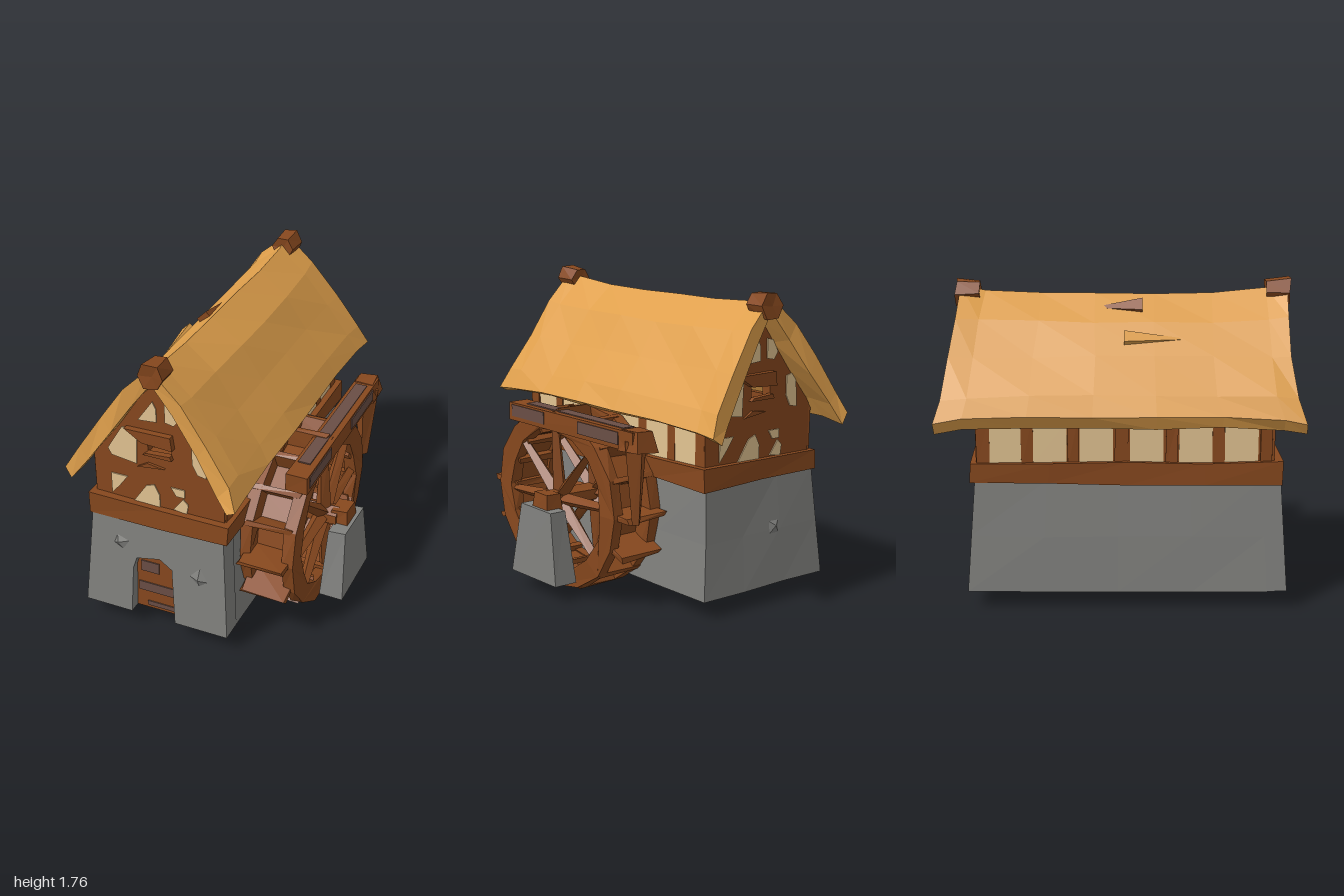
import * as THREE from 'three';

const paint = (name, color, side = THREE.FrontSide) =>
  Object.assign(new THREE.MeshStandardMaterial({ color, flatShading: true, side }), { name });

// Shift each corner by a repeatable amount, so shared corners stay together
function rough(geo, amount) {
  const p = geo.attributes.position;
  const hash = (a, b, c) => {
    const s = Math.sin(a * 127.1 + b * 311.7 + c * 74.7) * 43758.5453;
    return s - Math.floor(s) - 0.5;
  };
  for (let i = 0; i < p.count; i++) {
    const [x, y, z] = [p.getX(i), p.getY(i), p.getZ(i)].map(v => Math.round(v * 1000) / 1000 + 0);
    p.setXYZ(i, x + 2 * amount * hash(x, y, z), y + 2 * amount * hash(y, z, x), z + 2 * amount * hash(z, x, y));
  }
  geo.computeVertexNormals();
  return geo;
}

const polygon = pts => new THREE.Shape(pts.map(([x, y]) => new THREE.Vector2(x, y)));

export function createModel() {
  const model = new THREE.Group();
  model.name = 'watermill';
  const wood = paint('wood', 0x87481e, THREE.DoubleSide), thatch = paint('thatch', 0xdf9f4b, THREE.DoubleSide);
  const stone = paint('stone', 0x80807d), plaster = paint('plaster', 0xe3c492), worn = paint('wornWood', 0x6a4e45);

  const add = (name, geo, mat, parent = model) => {
    const mesh = new THREE.Mesh(geo, mat);
    mesh.name = name;
    parent.add(mesh);
    return mesh;
  };
  // Box from extents; the top can be narrowed and the corners roughened
  const block = (name, mat, [x0, x1], [y0, y1], [z0, z1], { top = 1, j = 0.008, seg = [1, 1, 1] } = {}) => {
    const geo = new THREE.BoxGeometry(x1 - x0, y1 - y0, z1 - z0, ...seg);
    const p = geo.attributes.position;
    for (let i = 0; i < p.count; i++) {
      const k = 1 + (top - 1) * (p.getY(i) / (y1 - y0) + 0.5);
      p.setX(i, p.getX(i) * k);
      p.setZ(i, p.getZ(i) * k);
    }
    geo.translate((x0 + x1) / 2, (y0 + y1) / 2, (z0 + z1) / 2);
    return add(name, j ? rough(geo, j) : geo, mat);
  };

  // Stone ground floor, leaning inward, with a door recess
  const lean = geo => {
    const p = geo.attributes.position;
    for (let i = 0; i < p.count; i++) {
      const t = (p.getY(i) - 0.1) / 0.62;
      p.setX(i, -0.1 + (p.getX(i) + 0.1) * (1 - 0.1 * t));
      p.setZ(i, 0.04 + (p.getZ(i) - 0.04) * (1 - 0.05 * t));
    }
    geo.computeVertexNormals();
    return geo;
  };
  const body = new THREE.BoxGeometry(0.88, 0.62, 1.63, 3, 2, 4).translate(-0.22, 0.41, -0.015);
  add('stoneBase', rough(lean(body), 0.005), stone);
  const frontWall = polygon([[-0.66, 0.1], [-0.37, 0.1], [-0.37, 0.4], [-0.35, 0.47], [-0.2, 0.5], [-0.12, 0.45],
    [-0.1, 0.1], [0.22, 0.1], [0.22, 0.72], [-0.66, 0.72]]);
  add('stoneFront', lean(new THREE.ExtrudeGeometry(frontWall, { depth: 0.13, bevelEnabled: false }).translate(0, 0, 0.78)), stone);

  // Door with worn bands
  block('door', wood, [-0.4, -0.08], [0.1, 0.52], [0.72, 0.84], { j: 0 });
  [[-0.33, -0.22, 0.36, 0.43], [-0.35, -0.13, 0.22, 0.28], [-0.3, -0.12, 0.12, 0.15]].forEach(([a, b, c, d]) =>
    block('doorBand', worn, [a, b], [c, d], [0.838, 0.846], { j: 0 }));

  // Loose stones standing out of the walls
  [[-0.43, 0.55, 0.87, 0.07], [0.05, 0.44, 0.88, 0.075], [-0.3, 0.42, -0.8, 0.07], [0.185, 0.43, 0.44, 0.09],
    [0.2, 0.15, -0.74, 0.06]].forEach(([x, y, z, r], i) => {
    const rock = add('wallStone', rough(new THREE.OctahedronGeometry(r), 0.012), stone);
    rock.position.set(x, y, z);
    rock.scale.set(i > 2 ? 0.35 : 1, i > 2 ? 0.9 : 1, i > 2 ? 1 : 0.35);
    rock.rotation.z = i > 2 ? 0 : i + 0.5;
  });

  // Timber band above the stone
  block('timberBand', wood, [-0.62, 0.22], [0.705, 0.825], [-0.815, 0.88], { top: 0.995, j: 0.008, seg: [2, 1, 4] });

  // Upper floor: two gables with open windows, and two long walls
  const patches = [
    [[-0.32, 1.29], [-0.41, 1.28], [-0.5, 1.13], [-0.48, 1.09], [-0.33, 1.07]],
    [[0, 1.26], [0, 1.15], [0.03, 1.09], [0.08, 1.08], [0.07, 1.28]],
    [[-0.31, 1.35], [-0.2, 1.36], [-0.2, 1.44], [-0.22, 1.48]],
    [[-0.15, 1.48], [-0.15, 1.37], [-0.1, 1.36], [-0.07, 1.4], [-0.11, 1.47]],
    [[-0.49, 0.84], [-0.44, 0.9], [-0.39, 0.97], [-0.49, 0.97]],
    [[-0.36, 0.82], [-0.2, 0.82], [-0.2, 0.9], [-0.23, 0.96], [-0.28, 0.94]],
    [[-0.13, 0.97], [-0.1, 0.92], [-0.05, 0.92], [-0.05, 0.97]],
    [[-0.12, 0.83], [-0.04, 0.82], [-0.03, 0.88], [-0.06, 0.91]]];
  const gable = polygon([[-0.59, 0.8], [0.18, 0.8], [0.18, 1.135], [-0.05, 1.49], [-0.175, 1.63], [-0.31, 1.48], [-0.59, 1.12]]);
  gable.holes.push(new THREE.Path([[-0.26, 1.155], [-0.26, 1.235], [-0.12, 1.235], [-0.12, 1.155]].map(p => new THREE.Vector2(...p))));
  for (const front of [true, false]) {
    const end = new THREE.Group();
    end.name = front ? 'frontGable' : 'backGable';
    add('gableWall', new THREE.ExtrudeGeometry(gable, { depth: 0.06, bevelEnabled: false }), wood, end);
    for (const pts of patches)
      add('plasterPatch', new THREE.ExtrudeGeometry(polygon(pts), { depth: 0.006, bevelEnabled: false }).translate(0, 0, 0.06), plaster, end);
    const beam = (name, pts, depth) =>
      add(name, new THREE.ExtrudeGeometry(polygon(pts), { depth, bevelEnabled: false }).translate(0, 0, 0.05), wood, end);
    beam('windowHeader', [[-0.28, 1.23], [-0.1, 1.22], [-0.11, 1.3], [-0.38, 1.295]], 0.045);
    beam('windowSill', [[-0.28, 1.15], [-0.11, 1.15], [-0.12, 1.175], [-0.26, 1.165]], 0.035);
    beam('tieBeam', [[-0.32, 1.06], [-0.16, 1.08], [-0.26, 1.095]], 0.025);
    if (front) end.position.z = 0.77;
    else {
      end.rotation.y = Math.PI;
      end.position.set(-0.4, 0, -0.72);
    }
    model.add(end);
  }
  for (const [x, out] of [[0.15, 1], [-0.56, -1]]) {
    block('sideWall', wood, [x - 0.03, x + 0.03], [0.8, 1.1], [-0.75, 0.8], { j: 0 });
    const face = x + out * 0.033;
    for (const z of [0.65, 0.405, 0.14, -0.13, -0.38, -0.615])
      block('plasterPanel', plaster, [face - 0.004, face + 0.004], [0.81, 1.05], [z - 0.09, z + 0.09], { j: 0 });
    for (const z of [0.785, 0.53, 0.275, 0.005, -0.255, -0.5, -0.74])
      block('wallPost', wood, [x - 0.02, x + 0.02].map(v => v + out * 0.02), [0.8, 1.08], [z - 0.033, z + 0.033], { j: 0.005 });
  }

  // Thatched roof: a thick chevron swept along z, flaring at the ends
  const outer = [[-0.66, 1.09], [-0.6, 1.19], [-0.47, 1.375], [-0.34, 1.54], [-0.175, 1.672], [-0.01, 1.53], [0.12, 1.34], [0.25, 1.16], [0.31, 1.06]];
  const inner = [[-0.625, 1.02], [-0.55, 1.12], [-0.42, 1.29], [-0.3, 1.45], [-0.175, 1.585], [-0.06, 1.45], [0.06, 1.27], [0.19, 1.09], [0.25, 1.03]];
  const stations = [-1, -0.85, -0.5, -0.15, 0.2, 0.55, 0.88, 1], n = outer.length;
  const loop = [...outer, ...inner.slice().reverse()], m = loop.length;
  const pos = [], idx = [];
  for (const s of stations) loop.forEach(([x, y], i) => {
    const t = Math.abs((i < n ? i : m - 1 - i) - 4) / 4, e = s ** 6;
    const reach = s > 0 ? 0.91 + 0.08 * t ** 3 : 0.87 + 0.12 * t;
    pos.push(x + e * 0.01 * Math.sign(x), y + e * (0.05 * (1 - t) - 0.03 * t - 0.04 * t * (1 - t)), s * reach);
  });
  for (let k = 0; k < stations.length - 1; k++) for (let i = 0; i < m; i++) {
    const a = k * m + i, b = k * m + (i + 1) % m;
    idx.push(a, a + m, b, b, a + m, b + m);
  }
  const last = (stations.length - 1) * m;
  for (let i = 0; i < n - 1; i++) {
    const o = i, o1 = i + 1, q = m - 1 - i, q1 = m - 2 - i;
    idx.push(o, o1, q, o1, q1, q, last + o, last + q, last + o1, last + o1, last + q, last + q1);
  }
  const roof = new THREE.BufferGeometry();
  roof.setAttribute('position', new THREE.Float32BufferAttribute(pos, 3));
  roof.setIndex(idx);
  add('thatchedRoof', rough(roof, 0.008), thatch);

  // Ridge beam ends
  for (const [z, y] of [[0.865, 1.685], [-0.835, 1.67]]) {
    const geo = new THREE.CylinderGeometry(0.078, 0.066, 0.13, 6).rotateY(Math.PI / 6).rotateX(Math.sign(z) * Math.PI / 2);
    add('ridgeBeamEnd', rough(geo, 0.007), wood).position.set(-0.17, y, z);
  }
  // Loose tuft and broken rafter on the left slope
  const tuft = add('looseThatch', new THREE.ConeGeometry(0.05, 0.36, 4).rotateX(Math.PI / 2), thatch);
  tuft.position.set(-0.4, 1.455, 0.2);
  const rafter = add('brokenRafter', new THREE.ConeGeometry(0.055, 0.28, 4).rotateX(-Math.PI / 2), wood);
  rafter.position.set(-0.25, 1.6, -0.02);

  // Water wheel, built facing +z and then turned to face +x
  const wheel = new THREE.Group();
  wheel.name = 'waterWheel';
  const circle = (r, count) => Array.from({ length: count }, (_, i) =>
    [r * Math.cos(i / count * 2 * Math.PI), r * Math.sin(i / count * 2 * Math.PI)]);
  const rim = polygon(circle(0.555, 16));
  rim.holes.push(new THREE.Path(circle(0.435, 16).map(p => new THREE.Vector2(...p))));
  for (const z of [0.2, 0.45]) {
    const ring = new THREE.ExtrudeGeometry(rim, { depth: 0.065, bevelEnabled: false }).translate(0, 0, z);
    add('wheelRim', rough(ring, 0.008), wood, wheel);
    for (let i = 0; i < 8; i++) {
      const spoke = new THREE.CylinderGeometry(0.026, 0.045, 0.42, 4).translate(0, 0.24, 0);
      const mesh = add('spoke', rough(spoke, 0.006), wood, wheel);
      mesh.position.z = z + 0.03;
      mesh.rotation.z = i * Math.PI / 4 + 0.06;
    }
  }
  add('wheelSole', new THREE.CylinderGeometry(0.452, 0.452, 0.25, 16, 1, true).rotateX(Math.PI / 2).translate(0, 0, 0.355), wood, wheel);
  // Paddles; those near axle height reach well past the rim
  for (let i = 0; i < 16; i++) {
    const reach = [0, 8, 9, 15].includes(i) ? 0.64 : 0.56;
    const geo = new THREE.BoxGeometry(reach - 0.41, 0.04, 0.27).translate((reach + 0.41) / 2, 0, 0.355);
    add('paddle', rough(geo, 0.01), wood, wheel).rotation.z = i * Math.PI / 8;
  }
  add('axle', rough(new THREE.CylinderGeometry(0.065, 0.065, 0.42, 6).rotateX(Math.PI / 2).translate(0, 0, 0.36), 0.005), wood, wheel);
  wheel.rotation.y = Math.PI / 2;
  wheel.scale.y = 0.93;
  wheel.position.set(0, 0.525, 0.135);
  model.add(wheel);

  // Axle supports either side of the wheel
  block('outerSupport', stone, [0.54, 0.685], [0.09, 0.5], [-0.1, 0.33], { top: 0.68, j: 0.004 });
  block('innerSupport', stone, [0.08, 0.21], [0.07, 0.46], [-0.08, 0.32], { top: 0.6 });
  block('axleBlock', wood, [0.53, 0.64], [0.48, 0.58], [0.03, 0.18], { top: 0.85, j: 0.004 });

  // Water channel beam with worn faces, and its hanging post
  block('channelBeam', wood, [0.41, 0.535], [0.925, 1.03], [-0.6, 0.55], { j: 0.003 });
  block('wornTop', worn, [0.43, 0.5], [1.028, 1.036], [-0.48, 0.42], { j: 0 });
  for (const [a, b] of [[0.2, 0.52], [-0.48, -0.12]])
    block('wornSide', worn, [0.533, 0.541], [0.95, 1.018], [a, b], { j: 0 });
  block('postHead', wood, [0.39, 0.545], [0.92, 1.03], [-0.645, -0.48], { top: 0.75, j: 0.01 });
  const post = add('hangingPost', rough(new THREE.CylinderGeometry(0.07, 0.024, 0.46, 4), 0.008), wood);
  post.position.set(0.475, 0.75, -0.55);
  return model;
}
